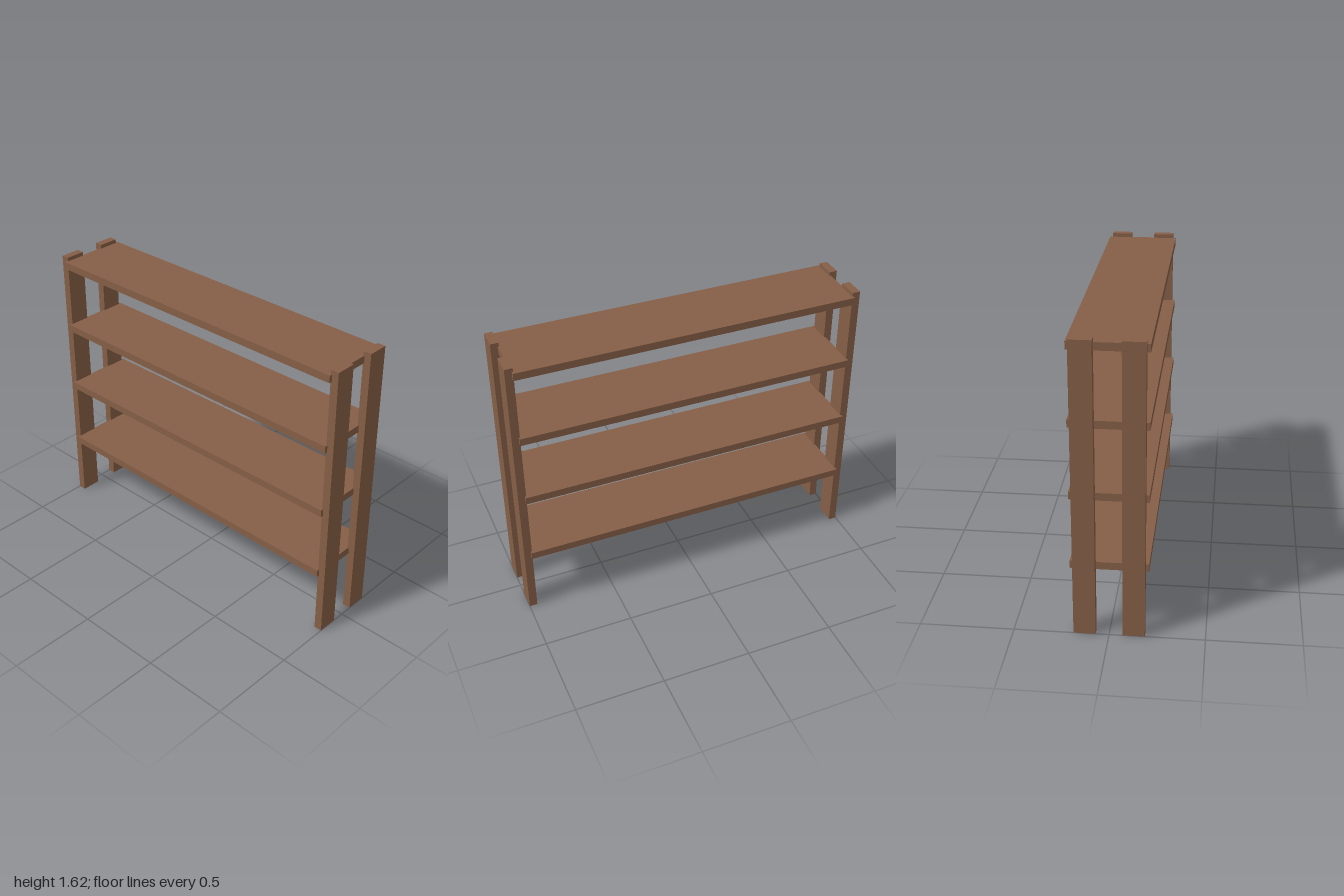
import * as THREE from 'three';

export function createModel() {
  const group = new THREE.Group();
  const wood = new THREE.MeshStandardMaterial({ color: 0x855e46 });
  wood.name = 'brown wood';

  function board(name, w, h, d, x, y, z) {
    const mesh = new THREE.Mesh(new THREE.BoxGeometry(w, h, d), wood);
    mesh.name = name;
    mesh.position.set(x, y, z);
    group.add(mesh);
  }

  // Four upright posts, a pair at each end
  const postHeight = 1.618, postDepth = 0.045;
  for (const [end, sz] of [['front', 1], ['back', -1]]) {
    for (const [side, sx] of [['Left', 1], ['Right', -1]]) {
      board(`${end}${side}Post`, 0.116, postHeight, postDepth,
        sx * 0.128, postHeight / 2, sz * (1 - postDepth / 2));
    }
  }

  // Four long shelves, let slightly into the posts
  [0.389, 0.784, 1.174, 1.575].forEach((y, i) =>
    board(`shelf${i + 1}`, 0.407, 0.042, 1.924, 0, y, 0));

  return group;
}
